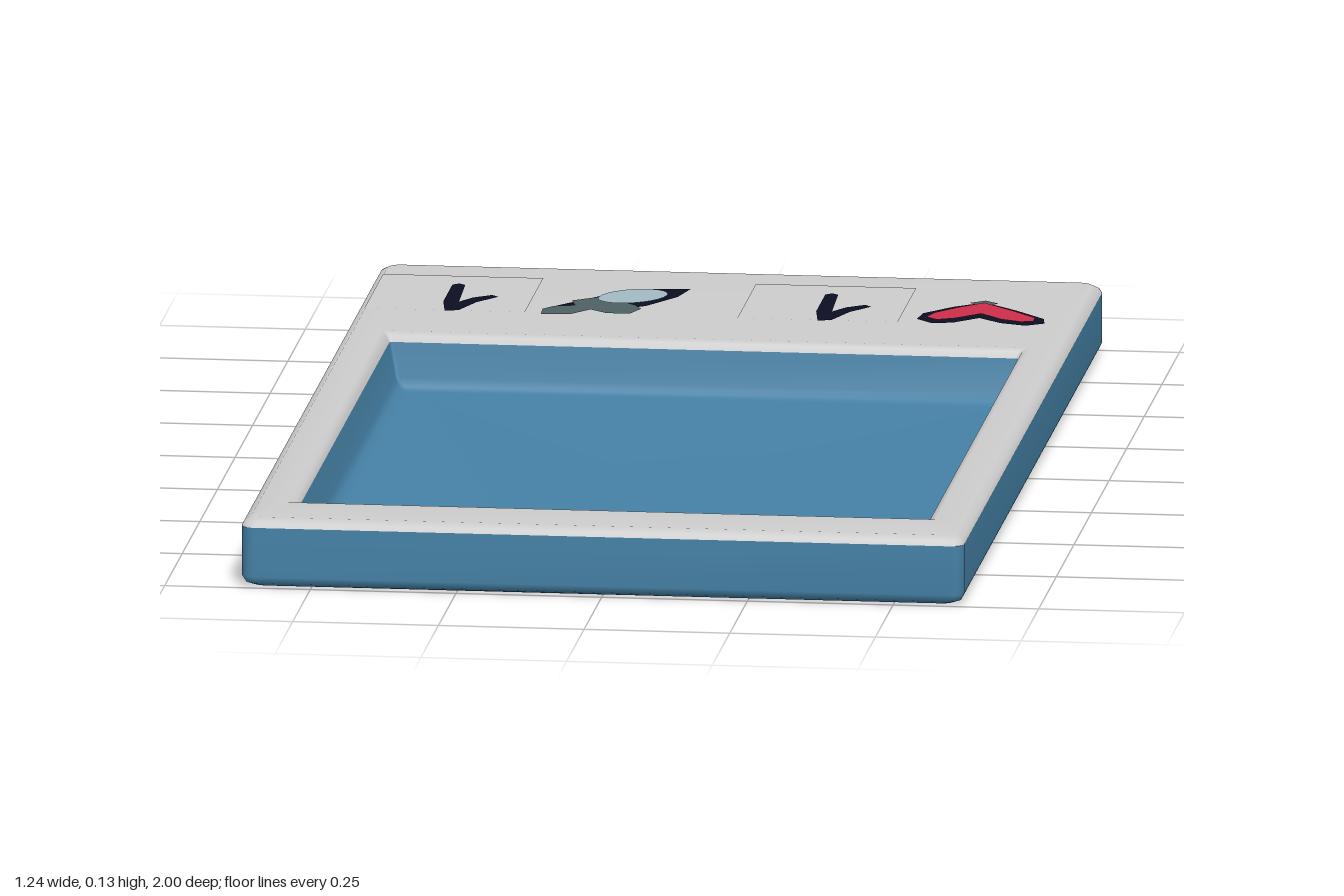
import * as THREE from 'three';

const mat = (name, color) => Object.assign(new THREE.MeshStandardMaterial({ color }), { name });

export function createModel() {
  const blue = mat('tray blue', 0x4581a6);
  const grey = mat('frame grey', 0xcccccc);
  const ink = mat('dark ink', 0x0b0e22);
  const red = mat('heart red', 0xcc2d49);
  const pale = mat('rocket pale blue', 0xa3bac4);
  const slate = mat('rocket slate', 0x4e6164);

  const group = new THREE.Group();
  const add = (name, geometry, material) => {
    const mesh = new THREE.Mesh(geometry, material);
    mesh.name = name;
    group.add(mesh);
    return mesh;
  };

  // Skin over rounded rectangles: [half width, back z, front z, y, corner radius]
  const STEPS = 4;
  function loft(rings) {
    const pos = [], index = [], n = 4 * (STEPS + 1);
    for (const [w, z0, z1, y, r] of rings) {
      for (let q = 0; q < 4; q++) {
        for (let s = 0; s <= STEPS; s++) {
          const a = (q + s / STEPS) * Math.PI / 2;
          const sx = q === 0 || q === 3 ? 1 : -1;
          const cz = q < 2 ? z1 - r : z0 + r;
          pos.push(sx * (w - r) + r * Math.cos(a), y, cz + r * Math.sin(a));
        }
      }
    }
    for (let k = 0; k < rings.length - 1; k++) {
      for (let i = 0; i < n; i++) {
        const a = k * n + i, b = k * n + (i + 1) % n;
        index.push(a, a + n, b, b, a + n, b + n);
      }
    }
    const g = new THREE.BufferGeometry();
    g.setAttribute('position', new THREE.Float32BufferAttribute(pos, 3));
    g.setIndex(index);
    g.computeVertexNormals();
    return g;
  }
  const outer = (inset, y) => [0.62 - inset, -1 + inset, 1 - inset, y, 0.022];
  const inner = (inset, y) => [0.54 - inset, -0.458 + inset, 0.85 - inset, y, 0.006];

  // Closed underside and outer walls
  add('trayBody', loft([
    [0, 0, 0, 0, 0], outer(0.018, 0), outer(0.006, 0.006), outer(0, 0.018), outer(0, 0.104),
  ]), blue);

  // Top frame with softened outer and inner edges
  add('topFrame', loft([
    outer(0, 0.104), outer(0.004, 0.112), outer(0.016, 0.12),
    inner(-0.016, 0.12), inner(-0.005, 0.115), inner(0, 0.104),
  ]), grey);

  // Recess walls and floor
  add('recess', loft([
    inner(0, 0.104), inner(0.012, 0.045), inner(0.02, 0.031), inner(0.034, 0.025),
    [0, 0.2, 0.2, 0.025, 0],
  ]), blue);

  // Flat painted shape from [x, z] points, on the top or the underside
  function paint(name, points, y, material, under = false) {
    const shape = new THREE.Shape(points.map(([x, z]) => new THREE.Vector2(x, under ? z : -z)));
    const g = new THREE.ShapeGeometry(shape);
    g.rotateX(under ? Math.PI / 2 : -Math.PI / 2);
    g.translate(0, y, 0);
    return add(name, g, material);
  }
  const oval = (cx, cz, rx, rz, tilt = 0) => Array.from({ length: 24 }, (_, i) => {
    const a = i / 24 * Math.PI * 2, u = rx * Math.cos(a), v = rz * Math.sin(a);
    return [cx + u * Math.cos(tilt) - v * Math.sin(tilt), cz + u * Math.sin(tilt) + v * Math.cos(tilt)];
  });
  const rect = (x0, x1, z0, z1) => [[x0, z0], [x1, z0], [x1, z1], [x0, z1]];

  // Two plates, each with a hooked pen stroke
  const tick = [[-0.477, -0.83], [-0.466, -0.84], [-0.455, -0.83], [-0.45, -0.7], [-0.43, -0.735],
    [-0.4, -0.758], [-0.388, -0.745], [-0.42, -0.7], [-0.443, -0.635], [-0.466, -0.628], [-0.477, -0.7]];
  for (const [side, dx] of [['right', 0], ['left', 0.64]]) {
    paint(side + 'CounterPlate', rect(-0.605 + dx, -0.33 + dx, -0.905, -0.64), 0.1208, grey);
    paint(side + 'TickMark', tick.map(([x, z]) => [x + dx, z]), 0.1225, ink);
  }

  // Rocket: dark outline, slate fins and a pale hull
  paint('rocketOutline', [[-0.285, -0.69], [-0.23, -0.76], [-0.19, -0.81], [-0.14, -0.84], [-0.07, -0.85],
    [-0.085, -0.785], [-0.13, -0.71], [-0.19, -0.665], [-0.24, -0.69]], 0.1215, ink);
  paint('rocketFins', [[-0.302, -0.66], [-0.285, -0.685], [-0.25, -0.695], [-0.26, -0.73], [-0.215, -0.765],
    [-0.15, -0.71], [-0.135, -0.68], [-0.15, -0.64], [-0.19, -0.64], [-0.22, -0.665],
    [-0.25, -0.625], [-0.3, -0.62]], 0.123, slate);
  paint('rocketHull', oval(-0.16, -0.77, 0.066, 0.048, -0.8), 0.1245, pale);

  // Heart, pointing to the back edge
  paint('heartOutline', [[0.44, -0.805], [0.5, -0.75], [0.555, -0.69], [0.56, -0.655], [0.53, -0.635],
    [0.485, -0.65], [0.445, -0.685], [0.405, -0.645], [0.37, -0.635], [0.34, -0.665], [0.345, -0.71], [0.39, -0.765]],
    0.1215, ink);
  paint('heartTip', [[0.415, -0.795], [0.44, -0.815], [0.465, -0.795], [0.44, -0.77]], 0.1225, slate);
  paint('heart', [[0.44, -0.795], [0.49, -0.745], [0.54, -0.69], [0.54, -0.662], [0.52, -0.655],
    [0.485, -0.67], [0.445, -0.71], [0.405, -0.67], [0.375, -0.655], [0.355, -0.675], [0.365, -0.71], [0.4, -0.755]],
    0.1235, red);

  // Smiling face drawn on the underside
  const arc = (side) => Array.from({ length: 21 }, (_, i) => {
    const t = i / 10 - 1;
    return [-0.035 + 0.32 * t, -0.305 + 0.135 * t * t + side * (0.011 - 0.004 * t)];
  });
  paint('smile', [...arc(-1), ...arc(1).reverse()], -0.001, ink, true);
  paint('leftEye', oval(0.145, 0.133, 0.009, 0.04), -0.001, ink, true);
  paint('rightEye', oval(-0.21, 0.133, 0.009, 0.04), -0.001, ink, true);

  return group;
}
